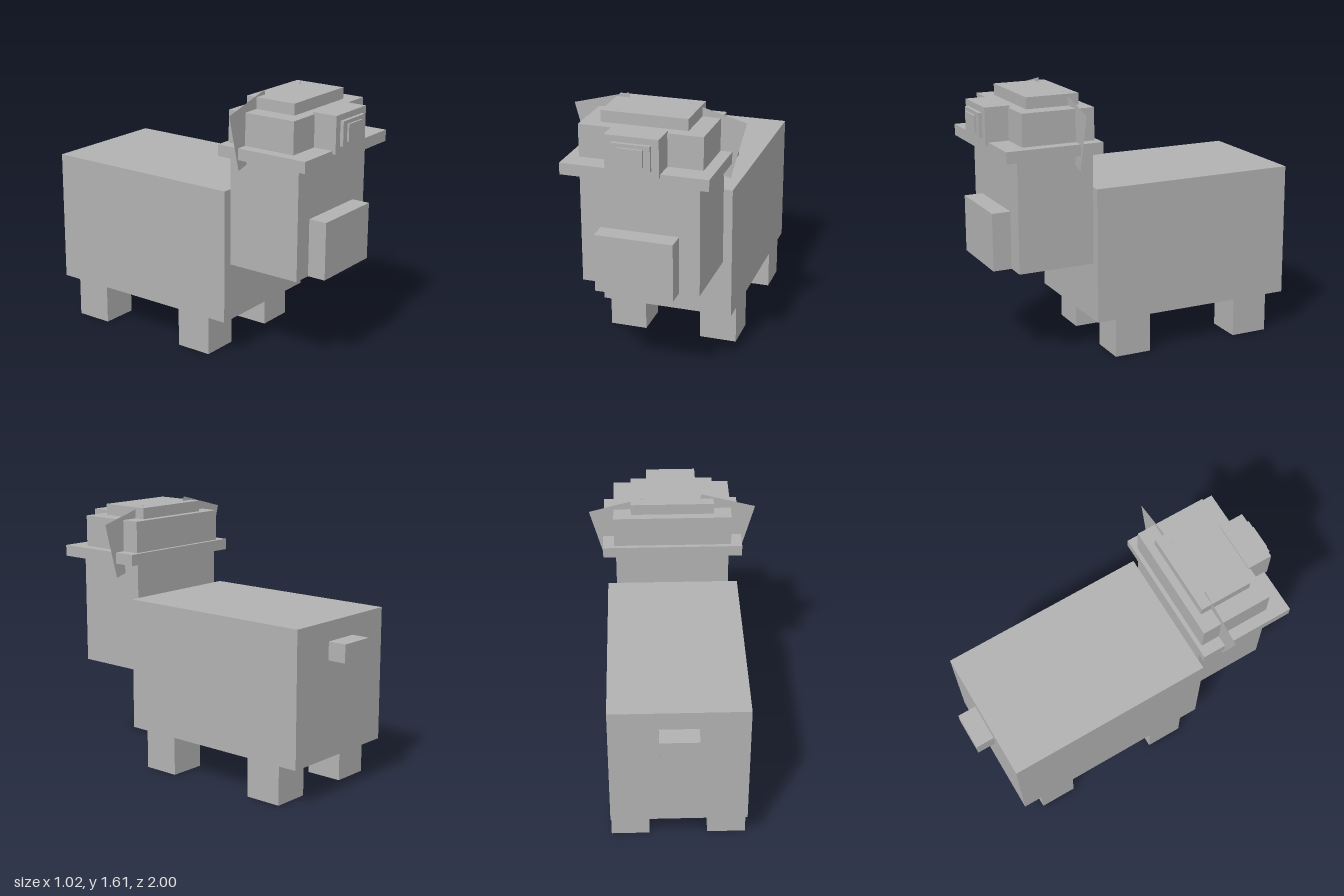
import * as THREE from 'three';

export function createModel() {
  const model = new THREE.Group();
  model.name = 'blockAnimal';
  const grey = new THREE.MeshStandardMaterial({ color: 0xb2b2b2, side: THREE.DoubleSide });
  grey.name = 'grey';

  // Box from its extents on each axis
  function block(name, [x0, x1], [y0, y1], [z0, z1]) {
    const mesh = new THREE.Mesh(new THREE.BoxGeometry(x1 - x0, y1 - y0, z1 - z0), grey);
    mesh.position.set((x0 + x1) / 2, (y0 + y1) / 2, (z0 + z1) / 2);
    mesh.name = name;
    model.add(mesh);
  }

  // Body, neck and tail
  block('body', [-0.404, 0.404], [0.235, 1.045], [-0.885, 0.39]);
  block('neck', [-0.347, 0.35], [0.585, 1.256], [0.39, 0.855]);
  block('chest', [-0.23, 0.23], [0.585, 0.928], [0.855, 0.967]);
  block('tail', [-0.113, 0.115], [0.818, 0.928], [-1, -0.885]);

  // Head, stacked in layers
  block('jaw', [-0.428, 0.428], [1.256, 1.324], [0.36, 0.947]);
  block('head', [-0.36, 0.36], [1.324, 1.515], [0.385, 0.825]);
  block('crown', [-0.253, 0.253], [1.515, 1.583], [0.433, 0.755]);

  // Snout and stepped nose
  block('snout', [-0.155, 0.155], [1.306, 1.526], [0.815, 0.967]);
  block('nose', [-0.112, 0.112], [1.345, 1.49], [0.967, 0.988]);
  block('noseTip', [-0.073, 0.073], [1.368, 1.468], [0.988, 1]);

  // Legs, flush with the sides of the body
  for (const [label, z] of [['front', [0.045, 0.273]], ['back', [-0.765, -0.535]]]) {
    block(label + 'LeftLeg', [0.175, 0.404], [0, 0.235], z);
    block(label + 'RightLeg', [-0.404, -0.175], [0, 0.235], z);
  }

  // Ears: thin tilted plates, the right one a little higher
  for (const [name, side, y] of [['leftEar', 1, 1.378], ['rightEar', -1, 1.401]]) {
    const ear = new THREE.Mesh(new THREE.PlaneGeometry(0.343, 0.345), grey);
    ear.position.set(side * 0.3, y, 0.5);
    ear.rotation.z = -side * THREE.MathUtils.degToRad(15);
    ear.name = name;
    model.add(ear);
  }
  return model;
}
